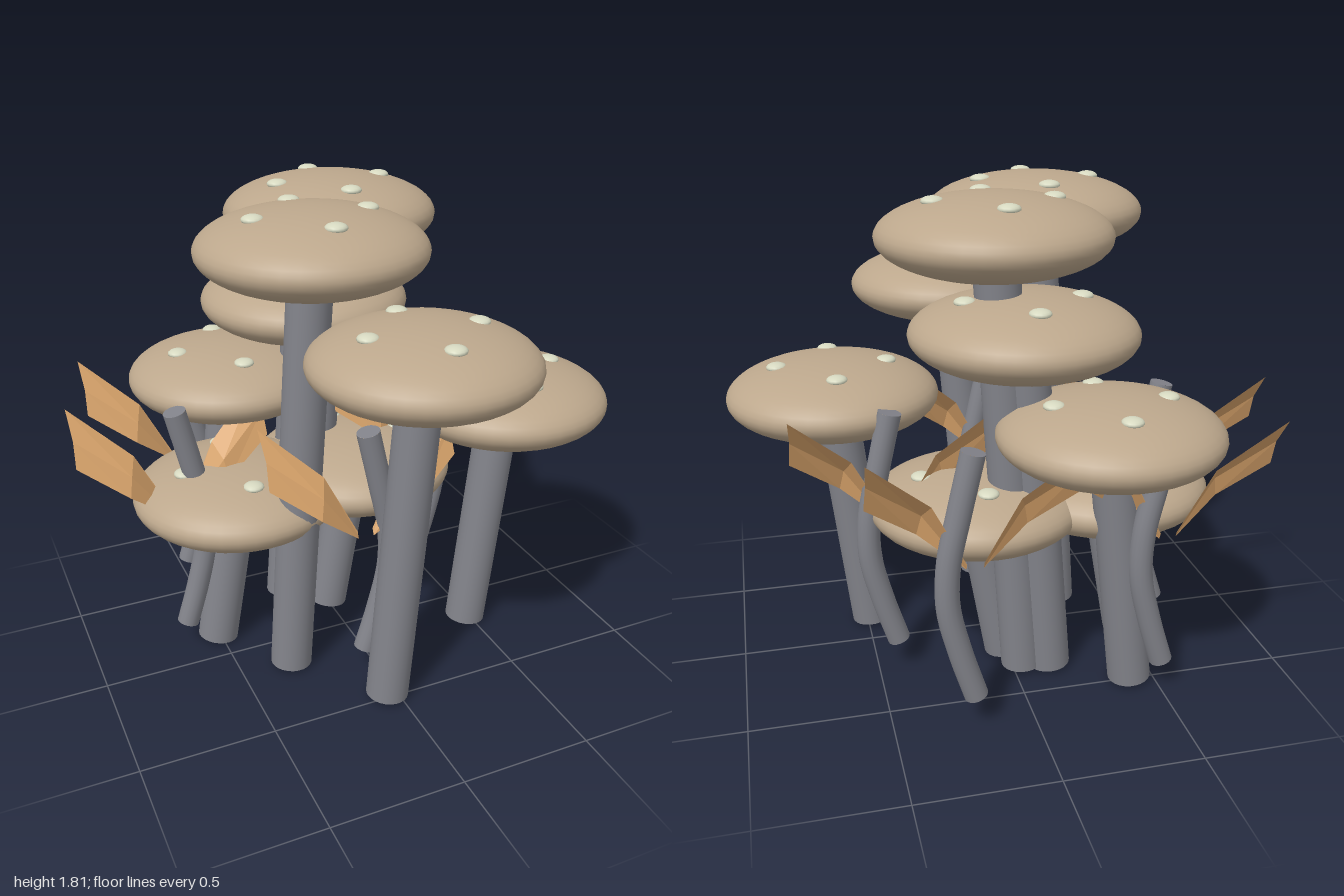
import * as THREE from 'three';

const mat = (name, color, side = THREE.FrontSide) => {
  const m = new THREE.MeshStandardMaterial({ color, side });
  m.name = name;
  return m;
};

// cap centres (x, y, z)
const CAPS = [
  [-0.30, 1.0, -0.49], [-0.40, 0.655, -0.135], [0.11, 0.655, -0.19], [0.59, 1.0, 0.16],
  [-0.03, 1.335, -0.33], [0.07, 1.335, 0.48], [0.07, 1.67, -0.31], [-0.19, 1.67, 0.15],
];
// twig feet (x, z)
const TWIGS = [[-0.635, -0.12], [0.21, -0.635], [0.42, -0.21], [-0.06, 0.32], [-0.50, -0.57]];

function add(parent, geometry, material, name) {
  const mesh = new THREE.Mesh(geometry, material);
  mesh.name = name;
  parent.add(mesh);
  return mesh;
}

// Folded leaf: rows of (lower edge, crease, upper edge) from the pinched root to the tip
function leafGeometry(s) {
  const rows = [
    [[0.03, 0.615, 0.006], [0.03, 0.625, 0], [0.03, 0.64, -0.006]],
    [[0.19, 0.745, 0.045], [0.175, 0.82, 0.025], [0.15, 0.875, -0.035]],
    [[0.365, 0.875, -0.01], [0.36, 0.97, -0.045], [0.365, 1.07, -0.115]],
  ];
  const pos = [];
  const p = (r, c) => pos.push(s * rows[r][c][0], rows[r][c][1], rows[r][c][2]);
  for (let r = 0; r < 2; r++) {
    for (let c = 0; c < 2; c++) {
      const quad = [[r, c], [r + 1, c], [r + 1, c + 1], [r, c], [r + 1, c + 1], [r, c + 1]];
      if (s < 0) quad.reverse();
      quad.forEach(([a, b]) => p(a, b));
    }
  }
  const g = new THREE.BufferGeometry();
  g.setAttribute('position', new THREE.Float32BufferAttribute(pos, 3));
  g.computeVertexNormals();
  return g;
}

export function createModel() {
  const root = new THREE.Group();
  root.name = 'mushroomCluster';
  const capMat = mat('cap tan', 0xbca78c);
  const stemMat = mat('stem grey', 0x82838a);
  const spotMat = mat('spot cream', 0xd6d8c0);
  const leafMat = mat('leaf orange', 0xd9a46b, THREE.DoubleSide);

  const capGeo = new THREE.SphereGeometry(0.4, 40, 24).scale(1, 0.35, 1);
  const spotGeo = new THREE.SphereGeometry(0.039, 14, 10).scale(1, 0.45, 1);

  // Mushrooms: leaning stem, flattened cap, four spots
  for (const [x, y, z] of CAPS) {
    const g = new THREE.Group();
    g.name = 'mushroom';
    g.position.set(x, 0, z);
    root.add(g);

    const foot = new THREE.Vector3(-0.11, 0.015, 0);
    const dir = new THREE.Vector3(0, y, 0).sub(foot);
    const stem = add(g, new THREE.CylinderGeometry(0.082, 0.08, dir.length(), 24), stemMat, 'stem');
    stem.position.copy(foot).addScaledVector(dir, 0.5);
    stem.quaternion.setFromUnitVectors(new THREE.Vector3(0, 1, 0), dir.normalize());

    add(g, capGeo, capMat, 'cap').position.y = y;
    for (let i = 0; i < 4; i++) {
      const a = (i * Math.PI) / 2;
      add(g, spotGeo, spotMat, 'spot').position.set(0.205 * Math.cos(a), y + 0.118, 0.205 * Math.sin(a));
    }
  }

  // Twigs: bowed tube with closed ends and a pair of leaves
  const path = new THREE.CatmullRomCurve3(
    [[0, 0.12], [0.055, 0.3], [0.095, 0.48], [0.092, 0.64], [0.055, 0.82], [0.005, 1.04]]
      .map(([x, y]) => new THREE.Vector3(x, y, 0)));
  const tubeGeo = new THREE.TubeGeometry(path, 24, 0.043, 16);
  const endGeo = new THREE.CircleGeometry(0.043, 16);
  const leaves = [leafGeometry(1), leafGeometry(-1)];
  for (const [x, z] of TWIGS) {
    const g = new THREE.Group();
    g.name = 'leafyTwig';
    g.position.set(x, 0, z);
    root.add(g);
    add(g, tubeGeo, stemMat, 'twig');
    for (const t of [0, 1]) {
      const end = add(g, endGeo, stemMat, 'twigEnd');
      end.position.copy(path.getPointAt(t));
      const out = path.getTangentAt(t).multiplyScalar(t ? 1 : -1);
      end.quaternion.setFromUnitVectors(new THREE.Vector3(0, 0, 1), out);
    }
    add(g, leaves[0], leafMat, 'leftLeaf');
    add(g, leaves[1], leafMat, 'rightLeaf');
  }
  return root;
}
